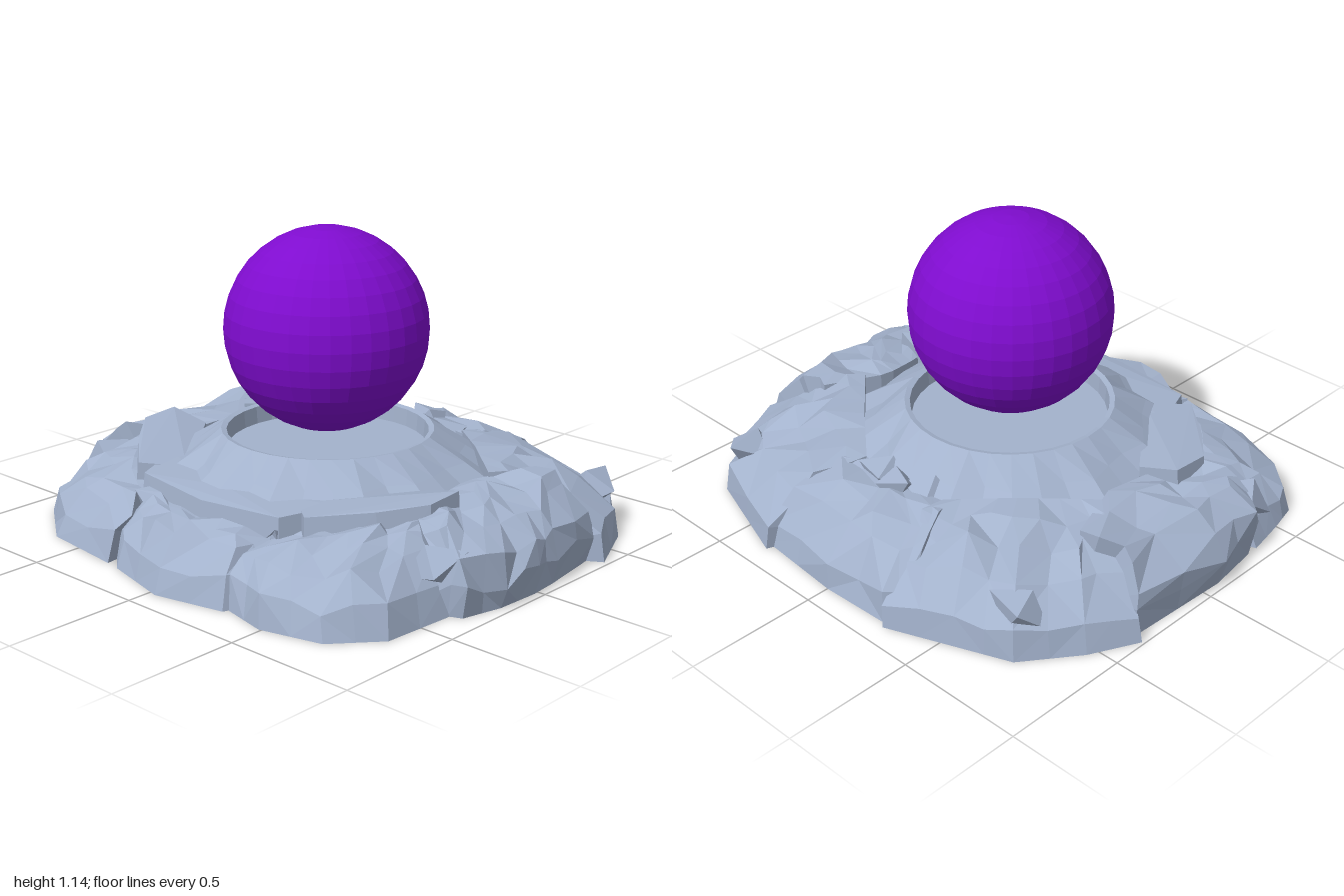
import * as THREE from 'three';
import { ConvexGeometry } from 'three/addons/geometries/ConvexGeometry.js';

const stone = new THREE.MeshStandardMaterial({ color: 0xa3b2cc, flatShading: true, side: THREE.DoubleSide });
const purple = new THREE.MeshStandardMaterial({ color: 0x7f0ccf, flatShading: true });

let seed = 7;
const rnd = () => (seed = (seed * 16807) % 2147483647) / 2147483647;
const wobble = (amount) => (rnd() - 0.5) * 2 * amount;

// Point at t (0..1) along a list of corners
function along(list, t) {
  const f = t * (list.length - 1);
  const i = Math.min(Math.floor(f), list.length - 2);
  return list[i].map((v, k) => v + (list[i + 1][k] - v) * (f - i));
}

// Boulder: loft from the outer edge [x, z], up rows of [height, scale], inward to a crest line [x, y, z]
function boulder(group, name, edge, rows, crest) {
  const columns = 2 * (edge.length - 1);
  const sections = [];
  for (let c = 0; c <= columns; c++) {
    const [x, z] = along(edge, c / columns);
    const top = new THREE.Vector3(...along(crest, c / columns));
    const section = rows.map(([y, s], i) => new THREE.Vector3(
      x * (s - i * rnd() * 0.025), y + (y ? wobble(0.025) : 0), z * (s - i * rnd() * 0.025)));
    const shoulder = section[section.length - 1];
    for (const t of [0.35, 0.7]) {
      const m = shoulder.clone().lerp(top, t);
      section.push(m.add(new THREE.Vector3(wobble(0.03), 0.018 + wobble(0.02), wobble(0.03))));
    }
    section.push(top, new THREE.Vector3(top.x, 0, top.z));
    sections.push(section);
  }
  const tris = [];
  const n = sections[0].length;
  for (let c = 0; c < columns; c++) {
    for (let r = 0; r < n; r++) {
      const [a, d] = [sections[c][r], sections[c][(r + 1) % n]];
      const [b, e] = [sections[c + 1][r], sections[c + 1][(r + 1) % n]];
      if (rnd() < 0.5) tris.push(a, d, b, b, d, e);
      else tris.push(a, d, e, a, e, b);
    }
  }
  // End walls
  const [first, last] = [sections[0], sections[columns]];
  for (let r = 0; r < n - 2; r++) {
    tris.push(first[n - 1], first[r + 1], first[r], last[n - 1], last[r], last[r + 1]);
  }
  const geometry = new THREE.BufferGeometry().setFromPoints(tris);
  geometry.computeVertexNormals();
  const mesh = new THREE.Mesh(geometry, stone);
  mesh.name = name;
  group.add(mesh);
}

// Ledge: plain angular slab standing on the ground under its top corners
function ledge(group, name, corners) {
  const pts = corners.flatMap(([x, y, z]) => [new THREE.Vector3(x, y, z), new THREE.Vector3(x * 1.04, 0, z * 1.04)]);
  const mesh = new THREE.Mesh(new ConvexGeometry(pts), stone);
  mesh.name = name;
  group.add(mesh);
}

export function createModel() {
  const model = new THREE.Group();
  const base = new THREE.Group();
  base.name = 'rockBase';
  model.add(base);

  // Floating orb
  const orb = new THREE.Mesh(new THREE.SphereGeometry(0.378, 32, 18), purple);
  orb.name = 'orb';
  orb.position.set(-0.005, 0.765, 0.015);
  model.add(orb);

  // Collar with a shallow round recess, its skirt roughened
  const profile = [[0, 0.32], [0.37, 0.32], [0.375, 0.385], [0.395, 0.39], [0.51, 0.31], [0.6, 0.25], [0.62, 0]]
    .reverse().map(([r, y]) => new THREE.Vector2(r, y));
  const collarGeo = new THREE.LatheGeometry(profile, 32);
  const p = collarGeo.attributes.position;
  for (let i = 0; i < p.count; i++) {
    const r = Math.hypot(p.getX(i), p.getZ(i));
    if (r < 0.45) continue;
    const k = 1 + 0.045 * Math.sin(Math.round(Math.atan2(p.getZ(i), p.getX(i)) * 16 / Math.PI) * 2.4);
    p.setX(i, p.getX(i) * k);
    p.setZ(i, p.getZ(i) * k);
  }
  const collar = new THREE.Mesh(collarGeo, stone);
  collar.name = 'collar';
  collar.position.z = 0.015;
  base.add(collar);

  // Core filling the gaps between boulders
  const core = new THREE.Mesh(new THREE.CylinderGeometry(0.72, 0.84, 0.18, 14), stone);
  core.name = 'core';
  core.position.y = 0.09;
  base.add(core);

  // Outer boulders
  const front = [[0, 1], [0.1, 0.985], [0.19, 0.91]];
  const side = [[0, 0.97], [0.1, 1], [0.19, 0.99], [0.27, 0.92]];
  const back = [[0, 1], [0.1, 0.995], [0.21, 0.89]];
  boulder(base, 'leftRock', [[0.95, -0.38], [0.99, -0.1], [1, 0.02], [0.99, 0.2], [0.95, 0.36], [0.85, 0.4]], side,
    [[0.68, 0.3, -0.32], [0.58, 0.29, -0.08], [0.6, 0.28, 0.1], [0.66, 0.27, 0.25]]);
  boulder(base, 'frontLeftRock', [[0.88, 0.36], [0.86, 0.65], [0.72, 0.81], [0.49, 0.87], [0.31, 0.83]], front,
    [[0.66, 0.27, 0.25], [0.55, 0.26, 0.4], [0.34, 0.22, 0.56]]);
  boulder(base, 'frontRock', [[0.35, 0.72], [0.3, 0.85], [0.03, 0.91], [-0.25, 0.84], [-0.32, 0.78]], front,
    [[0.34, 0.22, 0.58], [0, 0.21, 0.62], [-0.34, 0.22, 0.58]]);
  boulder(base, 'frontRightRock', [[-0.31, 0.83], [-0.65, 0.79], [-0.88, 0.62], [-0.91, 0.5], [-0.94, 0.34]], front,
    [[-0.34, 0.22, 0.56], [-0.55, 0.26, 0.4], [-0.66, 0.27, 0.25]]);
  boulder(base, 'rightRock', [[-0.92, 0.38], [-0.97, 0.3], [-1, 0.08], [-0.98, -0.36]], side,
    [[-0.66, 0.27, 0.25], [-0.6, 0.28, 0.1], [-0.58, 0.29, -0.08], [-0.68, 0.3, -0.34]]);
  boulder(base, 'backRightRock', [[-0.99, -0.36], [-0.9, -0.54], [-0.75, -0.74], [-0.55, -0.82], [-0.3, -0.92]], back,
    [[-0.62, 0.31, -0.16], [-0.4, 0.31, -0.36], [-0.2, 0.29, -0.53]]);
  boulder(base, 'backRock', [[-0.35, -0.84], [-0.28, -0.9], [0, -0.91], [0.37, -0.88]], back,
    [[-0.22, 0.28, -0.52], [0, 0.28, -0.56], [0.22, 0.28, -0.52]]);
  boulder(base, 'backLeftRock', [[0.34, -0.91], [0.75, -0.77], [0.87, -0.63], [0.98, -0.38]], back,
    [[0.2, 0.29, -0.53], [0.4, 0.31, -0.36], [0.62, 0.31, -0.16]]);

  // Raised crescent of ledges around the front of the collar
  for (const s of [1, -1]) {
    ledge(base, s > 0 ? 'leftLedge' : 'rightLedge',
      [[0.72, 0.34, 0.13], [0.72, 0.33, 0.28], [0.57, 0.3, 0.1], [0.44, 0.3, 0.36],
        [0.6, 0.31, 0.42], [0.42, 0.29, 0.58], [0.28, 0.28, 0.47]].map(([x, y, z]) => [x * s, y, z]));
  }
  ledge(base, 'frontLedge',
    [[-0.42, 0.29, 0.42], [-0.34, 0.28, 0.62], [0, 0.27, 0.66], [0.34, 0.28, 0.62], [0.42, 0.29, 0.42], [0, 0.29, 0.54]]);

  // Shards half sunk behind the collar and at the corners
  const shards = [[0, 0.28, -0.57, 0.09], [0.1, 0.26, -0.53, 0.1], [-0.1, 0.26, -0.5, 0.1],
    [-0.7, 0.15, -0.66, 0.11], [0.72, 0.15, -0.66, 0.11], [-0.85, 0.17, 0.36, 0.11], [0.82, 0.17, 0.37, 0.11]];
  for (const [x, y, z, r] of shards) {
    const shard = new THREE.Mesh(new THREE.OctahedronGeometry(r, 0), stone);
    shard.name = 'shard';
    shard.position.set(x, y, z);
    shard.rotation.set(rnd() * 0.6, rnd() * 3, rnd() * 0.6);
    shard.scale.set(1.1, 0.75, 0.9);
    base.add(shard);
  }
  return model;
}
